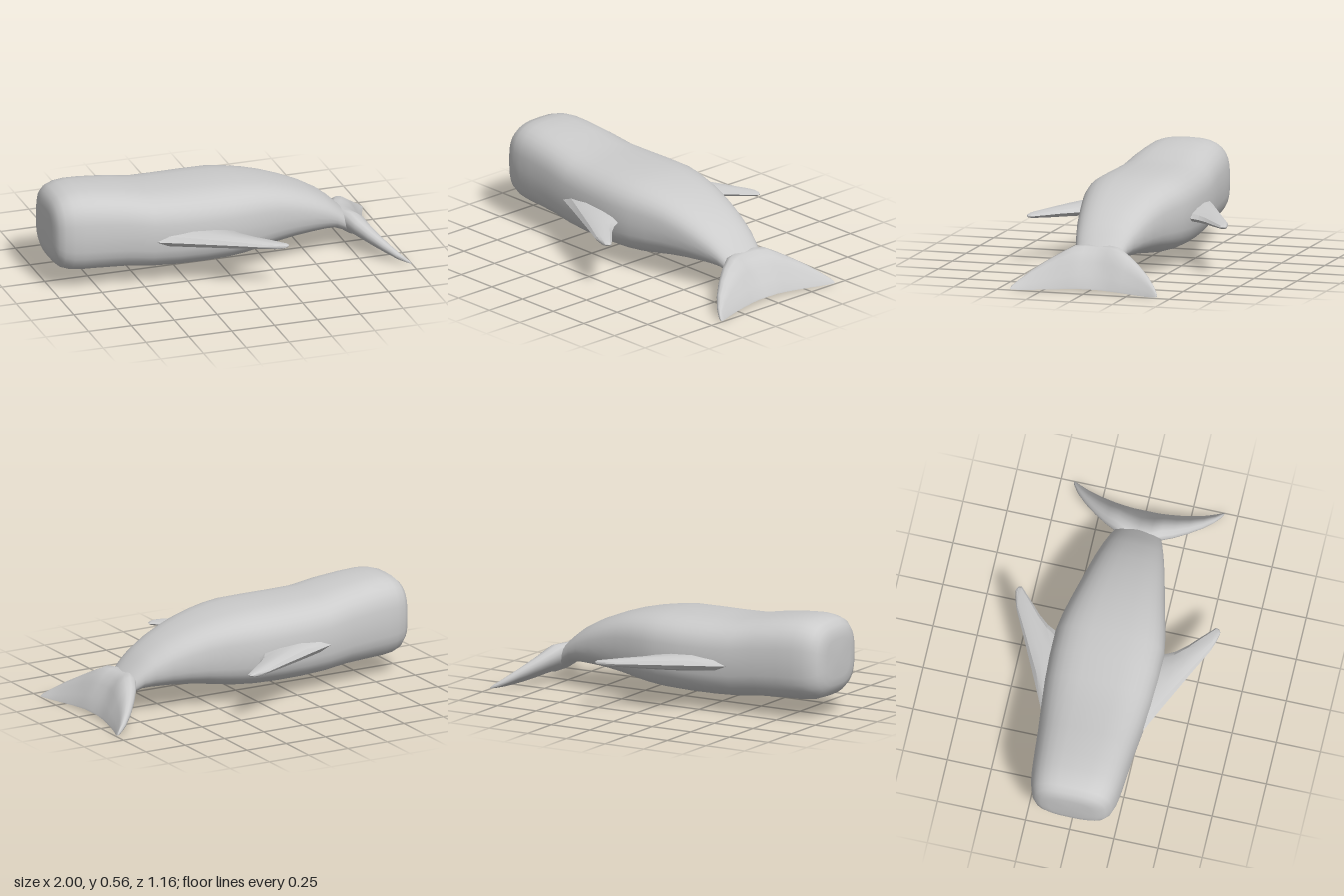
import * as THREE from 'three';
import { toCreasedNormals } from 'three/addons/utils/BufferGeometryUtils.js';

const material = new THREE.MeshStandardMaterial({ color: 0xcccccc });

// Skins a row of closed cross-sections and caps both ends.
function loft(rings, crease) {
  const n = rings[0].length, last = rings.length - 1;
  const pos = rings.flat(2), index = [];
  for (let i = 0; i < last; i++) {
    for (let j = 0; j < n; j++) {
      const k = (j + 1) % n;
      const a = i * n + j, b = i * n + k, c = a + n, d = b + n;
      index.push(a, c, b, b, c, d);
    }
  }
  for (const [r, start] of [[0, true], [last, false]]) {
    const centre = pos.length / 3;
    for (let axis = 0; axis < 3; axis++) {
      pos.push(rings[r].reduce((sum, p) => sum + p[axis], 0) / n);
    }
    for (let j = 0; j < n; j++) {
      const a = r * n + j, b = r * n + (j + 1) % n;
      index.push(centre, start ? a : b, start ? b : a);
    }
  }
  const geo = new THREE.BufferGeometry();
  geo.setAttribute('position', new THREE.Float32BufferAttribute(pos, 3));
  geo.setIndex(index);
  return toCreasedNormals(geo, crease);
}

// Rounded-box cross-section of the body at x.
function bodyRing([x, bottom, top, half]) {
  const cy = (bottom + top) / 2, ry = (top - bottom) / 2;
  const power = 2 / THREE.MathUtils.lerp(3, 2.3, THREE.MathUtils.smoothstep(x, 0.2, 0.75));
  const bend = (v) => Math.sign(v) * Math.abs(v) ** power;
  return Array.from({ length: 32 }, (_, j) => {
    const a = (j / 32) * Math.PI * 2;
    return [x, cy + ry * bend(Math.sin(a)), half * bend(Math.cos(a))];
  });
}

// Fin cross-section at z: a chord from leading to trailing edge, thickened by a profile.
function finRing(z, xl, yl, xt, yt, thick, profile) {
  const dx = xt - xl, dy = yt - yl, len = Math.hypot(dx, dy);
  const point = (t, h) => [
    xl + dx * t - (dy / len) * h * thick,
    yl + dy * t + (dx / len) * h * thick,
    z,
  ];
  return [
    point(0, 0),
    ...profile.map(([t, h]) => point(t, h)),
    point(1, 0),
    ...profile.slice().reverse().map(([t, h]) => point(t, -h)),
  ];
}

export function createModel() {
  const group = new THREE.Group();
  const add = (name, geo) => {
    const mesh = new THREE.Mesh(geo, material);
    mesh.name = name;
    group.add(mesh);
    return mesh;
  };

  // Body: x, bottom, top, half width, from the blunt head to the tail stock
  const body = [
    [-1, 0.23, 0.45, 0.12], [-0.995, 0.19, 0.485, 0.165], [-0.98, 0.155, 0.52, 0.2],
    [-0.95, 0.125, 0.547, 0.225], [-0.9, 0.108, 0.562, 0.242], [-0.84, 0.102, 0.567, 0.252],
    [-0.75, 0.1, 0.562, 0.26], [-0.6, 0.095, 0.545, 0.272], [-0.45, 0.08, 0.518, 0.288],
    [-0.3, 0.075, 0.513, 0.302], [-0.15, 0.075, 0.512, 0.309], [0, 0.08, 0.51, 0.309],
    [0.1, 0.088, 0.501, 0.293], [0.2, 0.102, 0.485, 0.27], [0.3, 0.118, 0.462, 0.245],
    [0.4, 0.128, 0.43, 0.222], [0.5, 0.133, 0.39, 0.198], [0.6, 0.135, 0.335, 0.17],
    [0.66, 0.132, 0.288, 0.15], [0.71, 0.11, 0.24, 0.133], [0.76, 0.075, 0.195, 0.11],
    [0.82, 0.05, 0.13, 0.08],
  ];
  add('body', loft(body.map(bodyRing), 1));

  // Tail flukes: z, leading x, y, trailing x, y, half thickness
  const half = [
    [0, 0.67, 0.215, 0.915, 0.02, 0.06], [0.07, 0.685, 0.22, 0.915, 0.019, 0.06],
    [0.125, 0.715, 0.222, 0.92, 0.016, 0.055], [0.19, 0.75, 0.19, 0.93, 0.013, 0.045],
    [0.26, 0.8, 0.15, 0.945, 0.01, 0.035], [0.33, 0.86, 0.105, 0.964, 0.008, 0.025],
    [0.385, 0.92, 0.06, 0.985, 0.009, 0.016], [0.415, 0.965, 0.032, 0.998, 0.012, 0.009],
    [0.425, 0.985, 0.02, 0.999, 0.014, 0.004],
  ];
  const flukes = [...half.slice(1).reverse().map(([z, ...rest]) => [-z, ...rest]), ...half];
  const flukeProfile = [[0.04, 0.5], [0.14, 0.85], [0.3, 1], [0.5, 0.8], [0.75, 0.42], [0.97, 0.09]];
  add('tailFlukes', loft(flukes.map((s) => finRing(...s, flukeProfile)), 0.9));

  // Flippers: z, leading x, trailing x, half thickness, swept backwards
  const flipper = [
    [0.2, -0.6, -0.03, 0.05], [0.29, -0.44, 0.015, 0.045], [0.36, -0.29, 0.05, 0.04],
    [0.42, -0.165, 0.1, 0.034], [0.48, -0.04, 0.165, 0.027], [0.55, 0.1, 0.237, 0.017],
    [0.568, 0.155, 0.232, 0.013], [0.578, 0.2, 0.217, 0.005],
  ];
  const flipperProfile = [[0.13, 0.65], [0.4, 1], [0.7, 0.85], [0.92, 0.5]];
  const flipperGeo = loft(
    flipper.map(([z, xl, xt, t]) => finRing(z, xl, 0, xt, 0, t, flipperProfile)), 0.5);
  for (const [name, turn] of [['frontFlipper', 0], ['backFlipper', Math.PI]]) {
    const mesh = add(name, flipperGeo);
    mesh.position.y = 0.28;
    mesh.rotation.x = turn;
  }
  return group;
}
